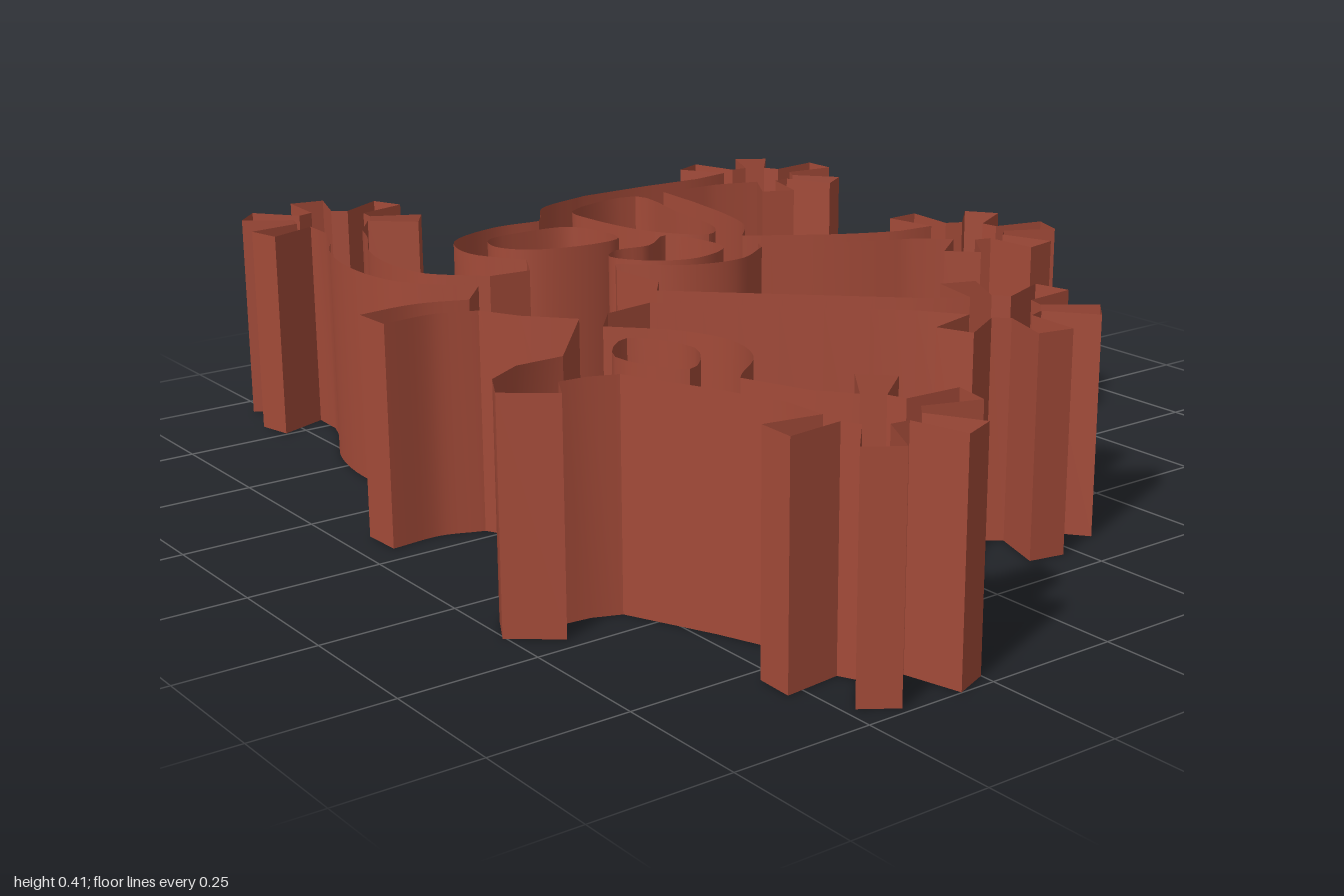
import * as THREE from 'three';
import { toCreasedNormals } from 'three/addons/utils/BufferGeometryUtils.js';

const HEIGHT = 0.41;
const PRONGS = 5;

// plan coordinates in hundredths of a unit (x, z alternating)
const points = (...list) => {
  const out = [];
  for (let i = 0; i < list.length; i += 2) {
    out.push(new THREE.Vector3(list[i] / 100, list[i + 1] / 100, 0));
  }
  return out;
};

// smooth edge through a few points
const smooth = (pts, closed = false) => {
  const edge = new THREE.CatmullRomCurve3(pts, closed).getPoints(pts.length * 4);
  if (closed) edge.pop();
  return edge;
};

// flared prongs fanned around a heading in degrees
const star = (centre, heading) => {
  const out = [];
  for (let i = 0; i < PRONGS; i++) {
    const a = THREE.MathUtils.degToRad(heading + (i - 2) * 57);
    const c = Math.cos(a), s = Math.sin(a);
    for (const [r, w] of [[0.075, -0.021], [0.179, -0.035], [0.179, 0.035], [0.075, 0.021]]) {
      out.push(new THREE.Vector3(centre.x + r * c - w * s, centre.y + r * s + w * c, 0));
    }
  }
  return out;
};

// outline of a limb: out along one edge, around its end, back along the other
const limb = (pts, halfWidth, heading) => {
  const curve = new THREE.CatmullRomCurve3(pts);
  const centre = pts[pts.length - 1];
  const hasStar = heading !== undefined;
  const near = [], far = [];
  const steps = pts.length * 5;
  for (let i = 0; i <= steps; i++) {
    const p = curve.getPoint(i / steps);
    if (hasStar && p.distanceTo(centre) < 0.11) continue;
    const t = curve.getTangent(i / steps);
    const side = new THREE.Vector3(t.y, -t.x, 0).multiplyScalar(halfWidth);
    near.push(p.clone().add(side));
    far.unshift(p.clone().sub(side));
  }
  return [...near, ...(hasStar ? star(centre, heading) : []), ...far];
};

// upright wall following a closed outline
const wallGeometry = (pts) => {
  const pos = [];
  pts.forEach((a, i) => {
    const b = pts[(i + 1) % pts.length];
    pos.push(a.x, 0, a.y, b.x, HEIGHT, b.y, b.x, 0, b.y);
    pos.push(a.x, 0, a.y, a.x, HEIGHT, a.y, b.x, HEIGHT, b.y);
  });
  const g = new THREE.BufferGeometry();
  g.setAttribute('position', new THREE.Float32BufferAttribute(pos, 3));
  return toCreasedNormals(g, 0.6);
};

export function createModel() {
  const group = new THREE.Group();
  group.name = 'branchingTray';
  const clay = new THREE.MeshStandardMaterial({ color: 0xa24a38, side: THREE.DoubleSide });
  clay.name = 'terracotta red';

  // outline, clockwise seen from above
  const outline = [];
  const trace = (pts) => outline.push(...pts);

  // right arm
  trace(limb(points(-20, 40, -30, 49, -41, 51, -54, 49, -66, 43, -83, 37.5), 0.037, 191));
  // right side of the body, then the small loop
  trace(points(-21.7, 29));
  trace(smooth(points(-29, 25, -40, 31, -50.5, 28, -56, 15.5, -55.5, 5)));
  // right back arm
  trace(smooth(points(-58, 3, -65.5, -2.5, -70, -16)));
  trace(limb(points(-66.5, -32, -65, -59.5), 0.037, -90));
  // cross branch and middle back arm
  trace(smooth(points(-50.5, -31, -36.5, -29, -27, -26, -20, -20)));
  trace(limb(points(-15.5, -20, -5, -36.5, 4, -58), 0.035, -69));
  // ring and back of the body
  trace(smooth(points(-10, -17, -5, -8, -7, 3, -16, 13.5)));
  trace(points(-12, 16, 0, 15));
  // left back arm
  trace(limb(points(8, 22, 50.5, -22), 0.043, -46));
  // left loop and left arm
  trace(points(12.5, 35));
  trace(smooth(points(19, 40.5, 29.5, 31.5, 39.5, 28.5, 49, 31.5, 55.5, 39)));
  trace(limb(points(58.5, 44, 82, 35), 0.036, -22));
  // hooked foot
  trace(points(44, 54.5, 42, 59.5, 41.5, 64.5, 47, 67.5, 40.5, 75.5, 34, 72, 30, 65, 30, 56));
  // front of the body and straight foot
  trace(points(12.5, 41, 4.5, 48));
  trace(limb(points(-6.5, 50.5, -9.5, 59, -9, 69.5), 0.039));

  const add = (geometry, name) => {
    const mesh = new THREE.Mesh(geometry, clay);
    mesh.name = name;
    group.add(mesh);
  };
  add(wallGeometry(outline), 'outerWall');
  const shape = new THREE.Shape(outline);

  // openings enclosed by the branches
  const opening = (name, ...list) => {
    const edge = smooth(points(...list), true);
    shape.holes.push(new THREE.Path(edge));
    add(wallGeometry([...edge].reverse()), name);
  };
  opening('branchOpeningWall', -63, -24.5, -45, -22.5, -29, -20, -25, -15.5, -33.5, -8, -50.5, -4.5, -59, -5.5);
  opening('ringOpeningWall', -29.5, -8, -15, -11.5, -10.5, -2, -13.5, 6, -21.5, 11, -25, 7, -24.5, -0.5);
  opening('smallLoopOpeningWall', -47, 2.5, -33.5, 0.5, -32, 8, -35.5, 20, -41.5, 24, -47.5, 22, -49, 13);
  opening('leftLoopOpeningWall', 27.5, 41.5, 39, 36, 48.5, 44, 35.5, 49.5);

  // flat floor, open above
  const floor = new THREE.ShapeGeometry(shape);
  floor.rotateX(Math.PI / 2);
  add(floor, 'floor');

  return group;
}
